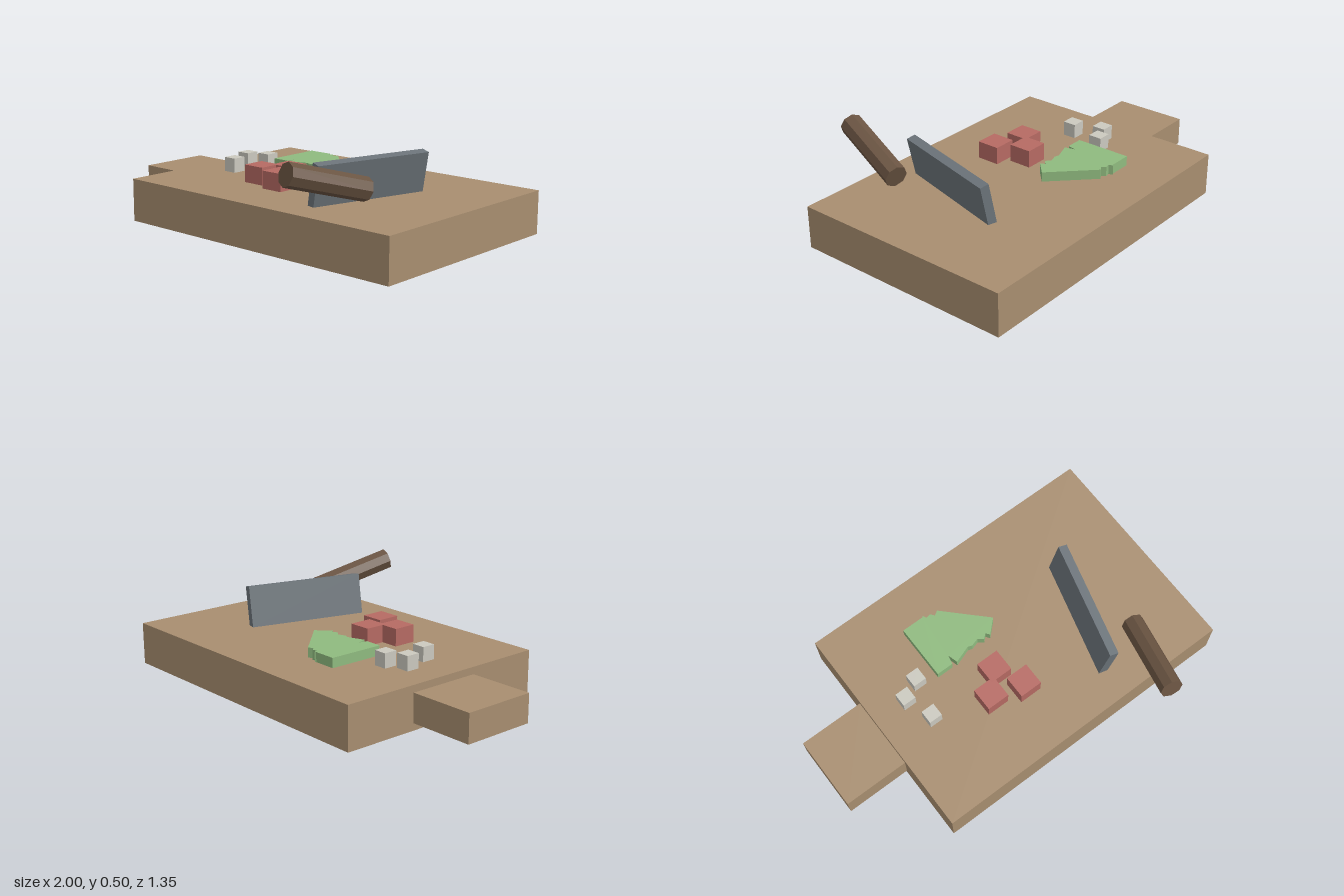
import * as THREE from 'three';

const material = (color) => new THREE.MeshStandardMaterial({ color, flatShading: true });
const wood = material(0xa88e70);
const steel = material(0x6b7379);
const darkWood = material(0x6a5442);
const green = material(0x8fba7f);
const red = material(0xb66a63);
const pale = material(0xcbc9bf);

const BOARD_TOP = 0.22;
const YAW = -0.26; // shared heading of the blade and its grip

export function createModel() {
  const model = new THREE.Group();

  function add(parent, name, geometry, mat, x, y, z) {
    const mesh = new THREE.Mesh(geometry, mat);
    mesh.name = name;
    mesh.position.set(x, y, z);
    parent.add(mesh);
    return mesh;
  }

  // Chopping board and its grip
  add(model, 'board', new THREE.BoxGeometry(1.656, BOARD_TOP, 1.17), wood, 0.172, BOARD_TOP / 2, -0.09);
  add(model, 'boardHandle', new THREE.BoxGeometry(0.346, 0.146, 0.387), wood, -0.827, 0.11, -0.092);

  // Cleaver: leaning blade, tilted eight-sided grip
  const cleaver = new THREE.Group();
  cleaver.name = 'cleaver';
  model.add(cleaver);
  const blade = add(cleaver, 'blade', new THREE.BoxGeometry(0.047, 0.214, 0.634), steel, 0.512, 0.32, 0.031);
  blade.rotation.set(0, YAW, -0.2, 'YXZ');
  const grip = add(cleaver, 'cleaverHandle', new THREE.CylinderGeometry(0.058, 0.058, 0.44, 8), darkWood, 0.608, 0.383, 0.445);
  grip.rotation.set(Math.PI / 2 - 0.265, YAW, 0, 'YXZ');

  // Torn leaf, outline as [x, z]
  const outline = [
    [-0.27, -0.435], [-0.15, -0.435], [-0.145, -0.44], [-0.135, -0.42], [-0.11, -0.425],
    [-0.095, -0.405], [-0.07, -0.42], [0.133, -0.217], [0.065, -0.152], [0.05, -0.173],
    [0.027, -0.152], [0, -0.173], [-0.042, -0.16], [-0.065, -0.168], [-0.155, -0.136],
    [-0.17, -0.19], [-0.18, -0.142], [-0.27, -0.142],
  ];
  const shape = new THREE.Shape(outline.map(([x, z]) => new THREE.Vector2(x, -z)));
  const leaf = new THREE.ExtrudeGeometry(shape, { depth: 0.05, bevelEnabled: false });
  leaf.rotateX(-Math.PI / 2);
  add(model, 'leaf', leaf, green, 0, 0.235, 0);

  // Diced pieces
  function dice(name, width, height, mat, spots) {
    const geometry = new THREE.BoxGeometry(width, height, width);
    spots.forEach(([x, z], i) => add(model, name + (i + 1), geometry, mat, x, BOARD_TOP + height / 2, z));
  }
  dice('redCube', 0.12, 0.09, red, [[-0.027, 0.003], [-0.123, 0.104], [0.045, 0.15]]);
  dice('paleCube', 0.071, 0.075, pale, [[-0.367, -0.193], [-0.467, -0.143], [-0.416, 0.007]]);

  return model;
}
